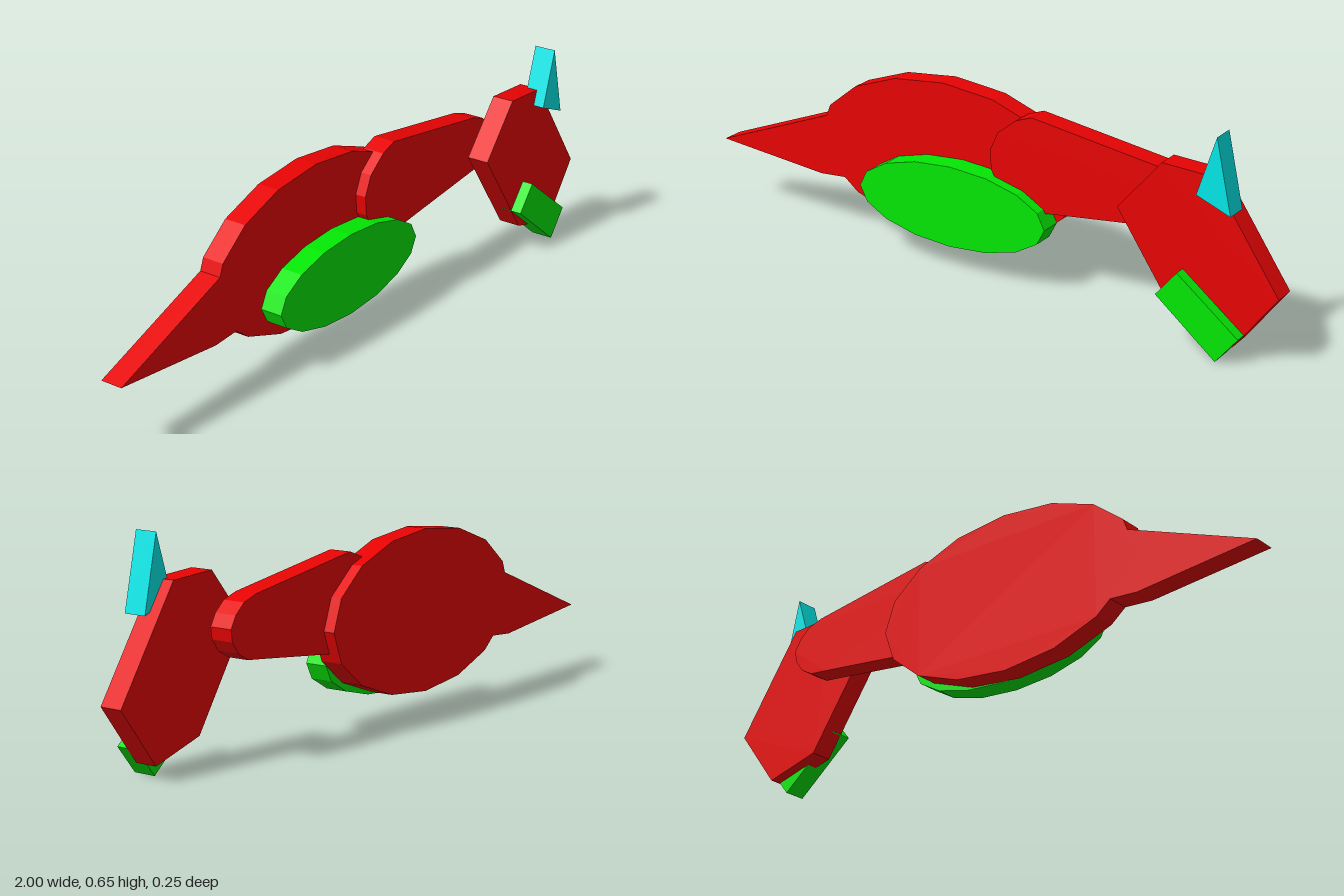
import * as THREE from 'three';

const THICK = 0.07;

const material = (name, color) => {
  const m = new THREE.MeshStandardMaterial({ color });
  m.name = name;
  return m;
};

// Flat slab cut from an outline, with its back face at zBack
function slab(name, points, zBack, mat) {
  const shape = new THREE.Shape(points.map(([x, y]) => new THREE.Vector2(x, y)));
  const geo = new THREE.ExtrudeGeometry(shape, { depth: THICK, bevelEnabled: false });
  geo.translate(0, 0, zBack);
  const mesh = new THREE.Mesh(geo, mat);
  mesh.name = name;
  return mesh;
}

// Sixteen-sided oval outline
function oval(cx, cy, rx, ry, n = 16) {
  return Array.from({ length: n }, (_, i) => {
    const a = (i / n) * Math.PI * 2;
    return [cx + rx * Math.cos(a), cy + ry * Math.sin(a)];
  });
}

export function createModel() {
  const red = material('red', 0xfa0404);
  const green = material('green', 0x04fa04);
  const cyan = material('cyan', 0x04fafa);
  const group = new THREE.Group();
  group.name = 'layeredCreature';

  // Rear layer: body and pointed tail
  const rear = -0.122;
  group.add(slab('body', oval(-0.166, 0.3175, 0.449, 0.2425), rear, red));
  group.add(slab('tail', [
    [-1, 0.215], [-0.62, 0.178], [-0.5, 0.187], [-0.5, 0.41], [-0.6, 0.372],
  ], rear, red));

  // Neck: tapered strip with rounded ends
  group.add(slab('neck', [
    [0.16, 0.528], [0.107, 0.508], [0.047, 0.46], [0.02, 0.4], [0.025, 0.34],
    [0.06, 0.285], [0.12, 0.25], [0.19, 0.241], [0.257, 0.25], [0.56, 0.286],
    [0.615, 0.292], [0.655, 0.315], [0.68, 0.35], [0.685, 0.385], [0.665, 0.42],
    [0.63, 0.45], [0.58, 0.466],
  ], -0.087, red));

  // Belly plate in front of the body
  group.add(slab('belly', oval(-0.097, 0.207, 0.325, 0.127), -0.052, green));

  // Head, with mouth and horn on the front layer
  group.add(slab('head', [
    [0.636, 0.528], [0.503, 0.369], [0.695, 0.086], [0.87, 0.038], [1, 0.212], [0.79, 0.52],
  ], 0.018, red));
  group.add(slab('mouth', [
    [0.711, 0.234], [0.647, 0.155], [0.837, 0], [0.903, 0.083],
  ], 0.053, green));
  group.add(slab('horn', [
    [0.815, 0.648], [0.76, 0.474], [0.864, 0.432],
  ], 0.053, cyan));

  return group;
}
